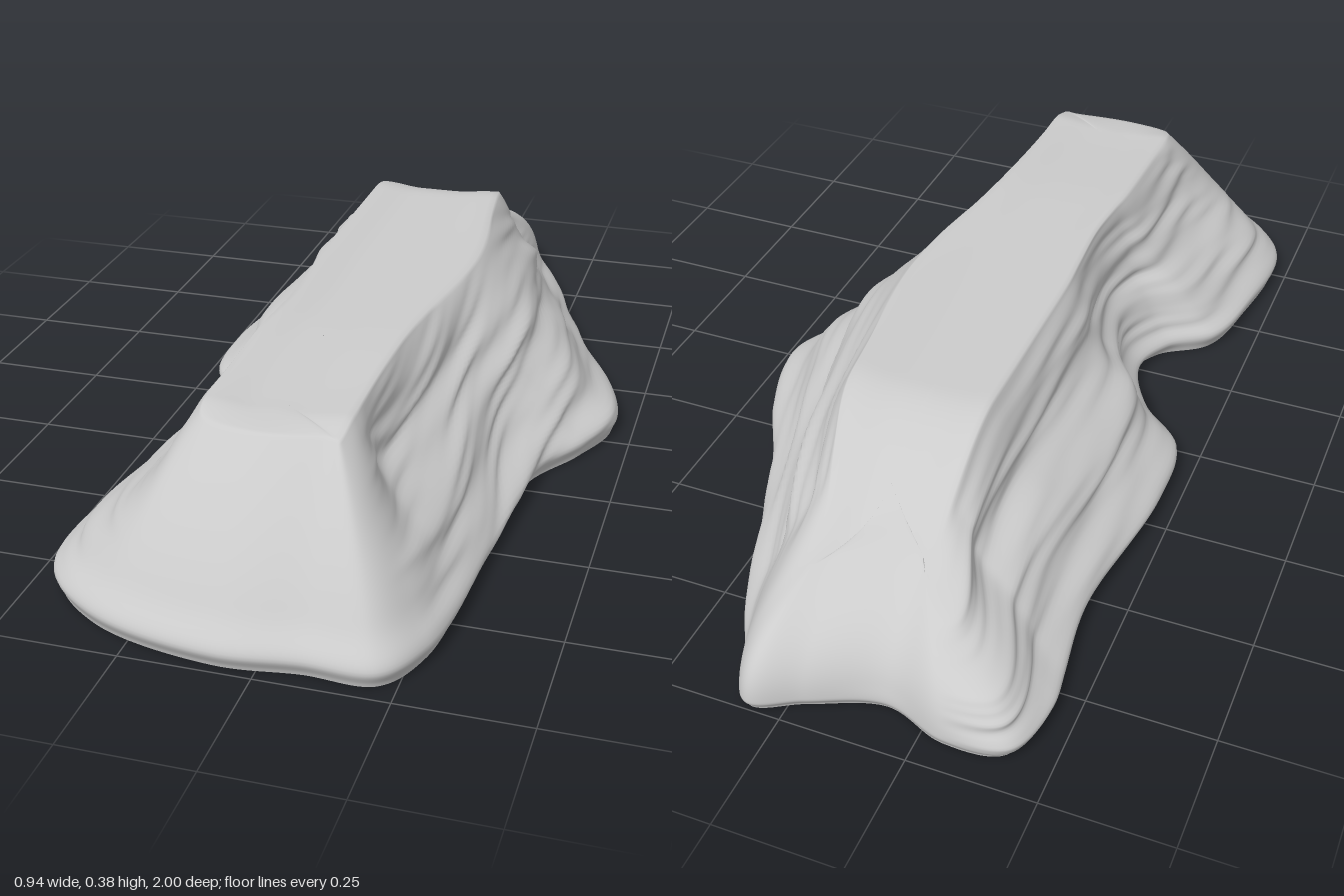
import * as THREE from 'three';

// Footprint of the rock (x, z), counter-clockwise from the middle of the front
const FOOT = [
  [-0.08, 0.99], [0.08, 0.975], [0.22, 0.97], [0.28, 0.87], [0.305, 0.55], [0.33, 0.22],
  [0.41, 0.08], [0.46, -0.05], [0.41, -0.22], [0.31, -0.42], [0.14, -0.85], [0.07, -1],
  [-0.03, -0.96], [-0.17, -0.91], [-0.3, -0.95], [-0.42, -0.93], [-0.445, -0.8], [-0.42, -0.55],
  [-0.46, -0.2], [-0.44, -0.03], [-0.33, 0.08], [-0.27, 0.22], [-0.31, 0.32], [-0.41, 0.4],
  [-0.45, 0.55], [-0.46, 0.8], [-0.33, 0.93],
];
const AROUND = 480, WALL = 56, CAP = 12;
const { smoothstep } = THREE.MathUtils;
const bump = (x, centre, width) => Math.exp(-(((x - centre) / width) ** 2));

// Plateau height along the rock: rounded over at the front, sloping down at the back
const plateauHeight = (z) => 0.376 - 0.18 * smoothstep(-z, 0.42, 0.86)
  - 0.012 * smoothstep(z, 0.3, 0.7) - 0.02 * smoothstep(z, 0.68, 0.78);

// Rim of the plateau above a foot point: narrow and pulled in at both ends
function rimAbove(b) {
  const z = b.z - 0.23 * smoothstep(b.z, 0.5, 1) + 0.2 * smoothstep(-b.z, 0.45, 1);
  const right = 0.095 + 0.05 * bump(z, -0.05, 0.3) - 0.06 * smoothstep(-z, 0.45, 0.78);
  const left = -0.19;
  const centre = (left + right) / 2, half = (right - left) / 2;
  const x = centre + half * Math.tanh((b.x - centre) / half);
  return new THREE.Vector3(x, plateauHeight(z), z);
}

// Broken lengthwise ridges that arch over the bulges at z = 0
function strata(v, z, right) {
  const arch = right ? 0.3 * bump(z, -0.05, 0.38) : 0.14 * bump(z, -0.1, 0.35);
  const level = v - arch + 0.05 * Math.sin(z * 4 + (right ? 0 : 2));
  const a = Math.sin(level * 17 + z * 1.9 + (right ? 0.5 : 2.2)) * (0.65 + 0.35 * Math.sin(z * 6 + level * 9));
  const b = Math.sin(level * 37 - z * 3.1 + 1.1) * (0.5 + 0.5 * Math.sin(z * 8 - level * 13));
  const c = Math.sin(level * 71 + z * 5) * (0.5 + 0.5 * Math.sin(z * 13 + level * 21));
  return 0.011 * a + 0.007 * b + 0.003 * c;
}

// One point of the wall; v runs from the foot (0) to the rim (1)
function wallPoint(b, v) {
  const t = rimAbove(b);
  const out = new THREE.Vector3(b.x - t.x, 0, b.z - t.z).normalize();
  const flank = smoothstep(Math.abs(out.x), 0.45, 0.95);
  const side = flank * (1 - smoothstep(b.z, 0.78, 0.95));
  const back = smoothstep(-b.z, 0.72, 0.95);
  const front = smoothstep(out.z, 0.4, 0.9);
  const reach = 1 - v ** (1.15 + 1.4 * back + 0.25 * front);
  let push = side * strata(v, b.z, b.x > 0) * Math.sqrt(Math.max(0, Math.sin(Math.PI * v)));
  push += 0.028 * (1 - back) * (1 - 0.5 * front) * bump(v, 0.12, 0.09); // swollen foot
  push -= 0.012 * (1 - smoothstep(v, 0, 0.1));                          // tucked-under edge
  if (b.x > 0) {
    push -= flank * 0.06 * bump(b.z, 0.62, 0.28) * bump(v, 0.68, 0.17); // gully by the front corner
  } else {
    push -= flank * 0.14 * (t.x - b.x) * bump(v, 0.66, 0.17);           // hollow above the left ledge
  }
  return new THREE.Vector3(
    t.x + (b.x - t.x) * reach + out.x * push,
    t.y * v,
    t.z + (b.z - t.z) * reach + out.z * push,
  );
}

// Rings climb the wall, then close over the plateau onto a central spine
function makeRings() {
  const curve = new THREE.CatmullRomCurve3(FOOT.map(([x, z]) => new THREE.Vector3(x, 0, z)), true);
  const foot = Array.from({ length: AROUND }, (_, i) => curve.getPoint(i / AROUND));
  const rings = [];
  for (let j = 0; j <= WALL; j++) rings.push(foot.map((b) => wallPoint(b, j / WALL)));
  const edge = rings[WALL];
  for (let k = 1; k <= CAP; k++) {
    const f = k / CAP;
    rings.push(edge.map((e) => {
      const z = e.z * (1 - 0.14 * f);
      return new THREE.Vector3(e.x + (-0.06 - e.x) * f, plateauHeight(z) - 0.009 * smoothstep(f, 0, 0.7), z);
    }));
  }
  return rings;
}

// Joins neighbouring rings into one smooth skin
function skin(rings) {
  const index = [];
  for (let j = 0; j < rings.length - 1; j++) {
    for (let i = 0; i < AROUND; i++) {
      const a = j * AROUND + i, b = j * AROUND + (i + 1) % AROUND;
      const c = a + AROUND, d = b + AROUND;
      index.push(a, b, d, a, d, c);
    }
  }
  const geometry = new THREE.BufferGeometry().setFromPoints(rings.flat());
  geometry.setIndex(index);
  geometry.computeVertexNormals();
  return geometry;
}

export function createModel() {
  const group = new THREE.Group();
  group.name = 'rock';
  const material = new THREE.MeshStandardMaterial({ color: 0xcccccc });

  const rings = makeRings();
  const body = new THREE.Mesh(skin(rings), material);
  body.name = 'rockBody';

  // Flat underside
  const outline = new THREE.Shape(rings[0].map((q) => new THREE.Vector2(q.x, q.z)));
  const underside = new THREE.Mesh(new THREE.ShapeGeometry(outline).rotateX(Math.PI / 2), material);
  underside.name = 'underside';

  group.add(body, underside);
  return group;
}
